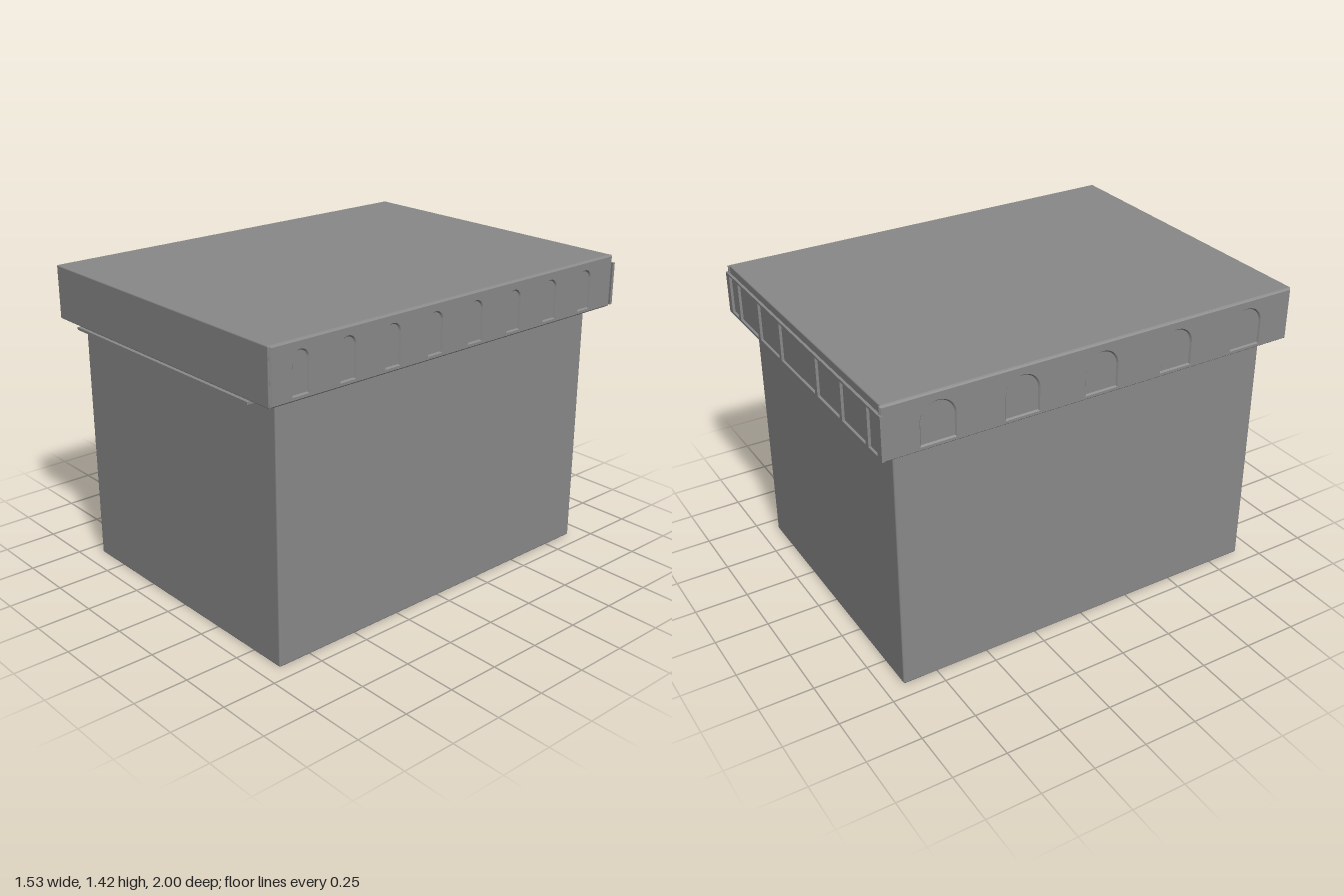
import * as THREE from 'three';
import { RoundedBoxGeometry } from 'three/addons/geometries/RoundedBoxGeometry.js';

const material = new THREE.MeshStandardMaterial({ color: 0x888888 });

function add(group, name, geometry, x = 0, y = 0, z = 0) {
  const mesh = new THREE.Mesh(geometry, material);
  mesh.name = name;
  mesh.position.set(x, y, z);
  group.add(mesh);
  return mesh;
}

// Rectangle outline between two corners
function rect(Type, x0, y0, x1, y1) {
  const r = new Type();
  r.moveTo(x0, y0);
  r.lineTo(x1, y0);
  r.lineTo(x1, y1);
  r.lineTo(x0, y1);
  r.closePath();
  return r;
}

// Round-topped niche outline
function arch(cx, y0, y1, r) {
  const p = new THREE.Path();
  p.moveTo(cx - r, y0);
  p.lineTo(cx + r, y0);
  p.lineTo(cx + r, y1 - r);
  p.absarc(cx, y1 - r, r, 0, Math.PI, false);
  p.closePath();
  return p;
}

export function createModel() {
  const model = new THREE.Group();
  model.name = 'liddedBox';

  // Body
  add(model, 'body', new RoundedBoxGeometry(1.355, 1.18, 1.825, 2, 0.008), 0, 0.59, 0);

  // Lid core, with softened edges
  add(model, 'lid', new RoundedBoxGeometry(1.5, 0.246, 1.986, 2, 0.006), 0, 1.297, 0.005);

  // Chamfered side facings with shallow arched niches: eight narrow on the left, five wide on the right
  const sides = [
    { name: 'leftFacing', side: 1, count: 8, start: 0.85, step: 0.236, radius: 0.041 },
    { name: 'rightFacing', side: -1, count: 5, start: 0.755, step: 0.377, radius: 0.08 },
  ];
  for (const { name, side, count, start, step, radius } of sides) {
    const facing = rect(THREE.Shape, -0.988, 1.183, 0.988, 1.412);
    for (let i = 0; i < count; i++) {
      facing.holes.push(arch(-side * (start - i * step), 1.195, 1.38, radius));
    }
    const geometry = new THREE.ExtrudeGeometry(facing, {
      depth: 0.004, bevelThickness: 0.007, bevelSize: 0.006, bevelSegments: 1, curveSegments: 16,
    });
    add(model, name, geometry, side * 0.746).rotation.y = side * Math.PI / 2;
  }

  // Back frame with seven openings split by narrow uprights
  const frame = rect(THREE.Shape, -0.767, 1.187, 0.767, 1.383);
  const widths = [0.077, 0.206, 0.206, 0.34, 0.206, 0.206, 0.077];
  const gap = 0.024;
  let x = -(widths.reduce((a, b) => a + b, 0) + gap * 6) / 2;
  for (const w of widths) {
    frame.holes.push(rect(THREE.Path, x, 1.197, x + w, 1.373));
    x += w + gap;
  }
  add(model, 'backFrame', new THREE.ExtrudeGeometry(frame, { depth: 0.014, bevelEnabled: false }), 0, 0, -1);

  // Thin ledge under the front of the lid
  add(model, 'frontLedge', new THREE.BoxGeometry(1.225, 0.012, 0.095), 0, 1.158, 0.947);

  return model;
}
